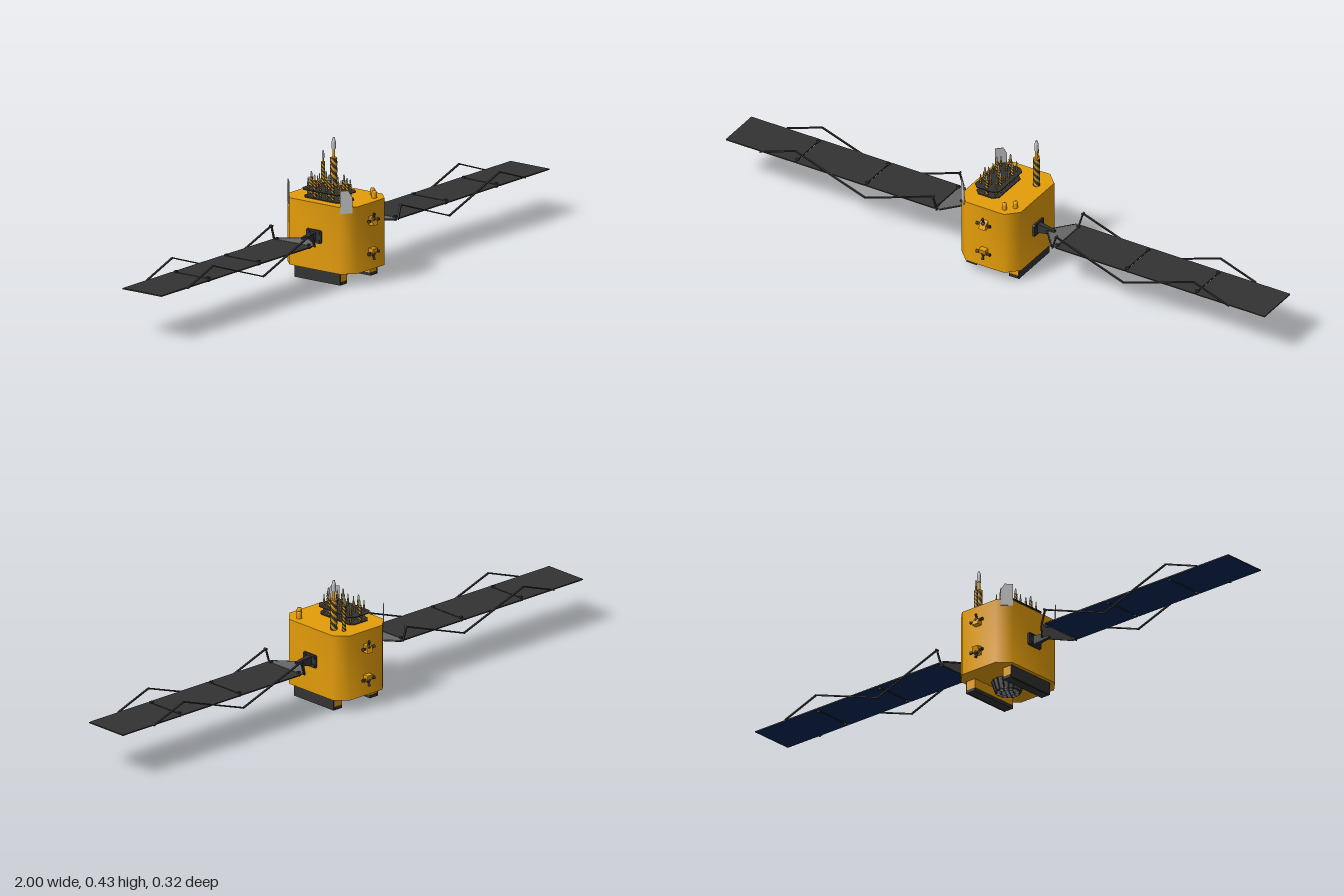
import * as THREE from 'three';
import { ParametricGeometry } from 'three/addons/geometries/ParametricGeometry.js';
import { toCreasedNormals } from 'three/addons/utils/BufferGeometryUtils.js';

function mat(name, color, double = false) {
  const m = new THREE.MeshStandardMaterial({ color });
  m.name = name;
  if (double) m.side = THREE.DoubleSide;
  return m;
}

export function createModel() {
  const gold = mat('gold foil', 0xe59d09);
  const dark = mat('dark grey', 0x333333, true);
  const navy = mat('navy solar cell', 0x032858);
  const grey = mat('light grey', 0xc2c2c2);
  const midGrey = mat('mid grey', 0x666666);

  const model = new THREE.Group();
  model.name = 'satellite';

  function add(parent, name, geometry, material, x = 0, y = 0, z = 0) {
    const mesh = new THREE.Mesh(geometry, material);
    mesh.name = name;
    mesh.position.set(x, y, z);
    parent.add(mesh);
    return mesh;
  }
  const box = (w, h, d) => new THREE.BoxGeometry(w, h, d);
  const polygon = pts => new THREE.Shape(pts.map(p => new THREE.Vector2(p[0], p[1])));
  const extrude = (pts, depth) => new THREE.ExtrudeGeometry(polygon(pts), { depth, bevelEnabled: false });
  // Flat slab: outline in x and z, thickness upwards
  const slab = (pts, height) => extrude(pts, height).rotateX(-Math.PI / 2);

  // Cylinder between two points
  function rod(parent, name, a, b, r, material, r2 = r) {
    const p = new THREE.Vector3(...a), q = new THREE.Vector3(...b);
    const mesh = add(parent, name, new THREE.CylinderGeometry(r2, r, p.distanceTo(q), 10), material);
    mesh.position.copy(p).add(q).multiplyScalar(0.5);
    mesh.quaternion.setFromUnitVectors(new THREE.Vector3(0, 1, 0), q.sub(p).normalize());
    return mesh;
  }

  // Rectangle with cut corners
  const octagon = (w, d, c) => [
    [w - c, -d], [w, -d + c], [w, d - c], [w - c, d],
    [-w + c, d], [-w, d - c], [-w, -d + c], [-w + c, -d]];

  // Main body, shaded smoothly round its cut corners
  add(model, 'body', toCreasedNormals(slab(octagon(0.11, 0.14, 0.039), 0.219), 0.9), gold, 0, 0.041, 0);

  // Underside runners: gold boxes with dark outer and lower plates
  for (const s of [-1, 1]) {
    const runner = new THREE.Group();
    runner.name = 'runner';
    add(runner, 'runnerBlock', box(0.034, 0.032, 0.182), gold, s * 0.076, 0.026, 0);
    add(runner, 'runnerBase', box(0.03, 0.01, 0.184), dark, s * 0.076, 0.005, 0);
    add(runner, 'runnerSide', box(0.004, 0.041, 0.184), dark, s * 0.095, 0.0205, 0);
    model.add(runner);
  }

  // Main engine: grey cone with dark ribs and a dark studded face
  const engine = new THREE.Group();
  engine.name = 'engine';
  add(engine, 'engineCone', new THREE.CylinderGeometry(0.052, 0.04, 0.035, 24), midGrey, 0, 0.0245, 0);
  add(engine, 'engineFace', new THREE.CylinderGeometry(0.039, 0.039, 0.003, 24), dark, 0, 0.006, 0);
  for (let i = 0; i < 16; i++) {
    const a = i / 16 * Math.PI * 2, c = Math.cos(a), s = Math.sin(a);
    rod(engine, 'engineRib', [c * 0.04, 0.007, s * 0.04], [c * 0.052, 0.041, s * 0.052], 0.0025, dark);
  }
  for (const [n, r] of [[1, 0], [6, 0.015], [12, 0.03]])
    for (let i = 0; i < n; i++) {
      const a = i / n * Math.PI * 2;
      add(engine, 'engineStud', new THREE.CylinderGeometry(0.0058, 0.0058, 0.003, 10), grey,
        Math.cos(a) * r, 0.0045, Math.sin(a) * r);
    }
  model.add(engine);

  // Striped helical antenna with a slim neck and pointed cap
  function antenna(parent, name, x, z, r, bodyTop, neckTop, top) {
    const g = new THREE.Group();
    g.name = name;
    g.position.set(x, 0, z);
    const base = 0.258, h = bodyTop - base, pitch = r * Math.PI * 2, starts = 3;
    add(g, 'antennaTube', new THREE.CylinderGeometry(r, r, h, 16), gold, 0, base + h / 2, 0);
    for (let i = 0; i < starts; i++) {
      const stripe = new ParametricGeometry((u, v, p) => {
        const a = ((i + u * 0.56) / starts - v * h / pitch) * Math.PI * 2;
        p.set(Math.cos(a) * r * 1.06, base + v * h, -Math.sin(a) * r * 1.06);
      }, 4, Math.ceil(h / pitch * 18));
      add(g, 'antennaStripe', stripe, dark);
    }
    add(g, 'antennaNeck', new THREE.CylinderGeometry(r * 0.42, r * 0.42, neckTop - bodyTop, 10), gold,
      0, (neckTop + bodyTop) / 2, 0);
    const c = r * 0.62, l = top - neckTop;
    add(g, 'antennaCap', new THREE.CylinderGeometry(c, c, l * 0.65, 12), grey, 0, neckTop + l * 0.325, 0);
    add(g, 'antennaTip', new THREE.CylinderGeometry(c * 0.45, c, l * 0.35, 12), grey, 0, neckTop + l * 0.825, 0);
    parent.add(g);
  }
  antenna(model, 'tallAntenna', 0.068, -0.062, 0.0108, 0.361, 0.39, 0.427);
  antenna(model, 'shortAntenna', 0.053, -0.093, 0.006, 0.346, 0.358, 0.383);

  // Antenna array standing through a raised dark plate
  const array = new THREE.Group();
  array.name = 'antennaArray';
  const ax = -0.035;
  add(array, 'arrayDeck', slab(octagon(0.042, 0.08, 0.016), 0.003), dark, ax, 0.26, 0);
  add(array, 'arrayPlate', slab(octagon(0.046, 0.084, 0.016), 0.003), dark, ax, 0.285, 0);
  for (const [dx, z] of [[0, 0.072], [0, 0], [0, -0.072], [0.029, 0.036], [-0.029, 0.036], [0.029, -0.036], [-0.029, -0.036]])
    antenna(array, 'arrayAntenna', ax + dx, z, 0.0052, 0.318, 0.32, 0.336);
  for (const dx of [-0.029, 0.029])
    for (const z of [-0.062, -0.013, 0.013, 0.062])
      antenna(array, 'smallArrayAntenna', ax + dx, z, 0.0033, 0.309, 0.312, 0.325);
  for (const z of [-0.047, 0.047]) antenna(array, 'smallArrayAntenna', ax, z, 0.0033, 0.309, 0.312, 0.325);
  model.add(array);

  // Domed sensors on the top deck
  for (const [x, z] of [[0.08, 0.085], [0.055, 0.111]]) {
    const prof = [[0.0085, 0], [0.0085, 0.018], [0.006, 0.023], [0, 0.024]].map(p => new THREE.Vector2(...p));
    add(model, 'domeSensor', new THREE.LatheGeometry(prof, 16), gold, x, 0.259, z);
  }

  // Grey shield plates on the two right-hand corners
  const plateOutline = [[-0.02, 0.24], [0.02, 0.24], [0.02, 0.293], [0.007, 0.315], [-0.02, 0.315]];
  for (const s of [-1, 1]) {
    const outline = plateOutline.map(([x, y]) => [s * x, y]);
    const plate = add(model, 'shieldPlate', extrude(outline, 0.002), grey, -0.0965, 0, s * 0.1155);
    plate.rotation.y = s > 0 ? -Math.PI / 4 : -Math.PI * 3 / 4;
  }

  // Thruster clusters, two on the front and two on the back
  const bracketOutline = [[0, -0.012], [0.021, -0.012], [0.015, 0.006], [0, 0.016]];
  for (const turn of [0, Math.PI]) {
    const side = new THREE.Group();
    side.name = 'thrusterMount';
    side.rotation.y = turn;
    model.add(side);
    for (const up of [1, -1]) {
      const t = new THREE.Group();
      t.name = 'thrusterCluster';
      add(t, 'thrusterBracket', extrude(bracketOutline, 0.024).translate(0, 0, -0.012).rotateY(-Math.PI / 2), gold);
      rod(t, 'thrusterNozzle', [0, 0.004, 0.008], [0, 0.026, 0.016], 0.002, dark, 0.0045);
      add(t, 'thrusterValve', new THREE.SphereGeometry(0.007, 12, 8), dark, 0, 0.007, 0.011);
      for (const s of [-1, 1])
        rod(t, 'thrusterNozzle', [s * 0.01, 0.002, 0.009], [s * 0.026, 0.003, 0.013], 0.003, dark, 0.0055);
      // The lower cluster is the upper one turned upside down
      if (up < 0) t.rotation.z = Math.PI;
      t.position.set(0, up > 0 ? 0.201 : 0.101, 0.139);
      side.add(t);
    }
  }

  // Solar wing, pointing to +x
  function wing(name) {
    const w = new THREE.Group();
    w.name = name;
    const y0 = 0.151;
    // Root drive and tapered boom
    add(w, 'wingMount', extrude(octagon(0.03, 0.0215, 0.004), 0.008).rotateY(Math.PI / 2), dark, 0.108, y0, 0);
    for (const dy of [-0.013, 0.013])
      for (const dz of [-0.02, 0.02]) add(w, 'mountBolt', box(0.004, 0.008, 0.01), dark, 0.117, y0 + dy, dz);
    const boom = new THREE.CylinderGeometry(0.011, 0.022, 0.06, 4, 1).toNonIndexed();
    boom.rotateY(Math.PI / 4).rotateZ(-Math.PI / 2).scale(1, 1, 0.6).computeVertexNormals();
    add(w, 'wingBoom', boom, dark, 0.145, y0, 0);
    // Triangular yoke
    add(w, 'wingYoke', slab([[0.155, -0.008], [0.205, -0.074], [0.222, -0.074], [0.222, 0.074],
      [0.205, 0.074], [0.155, 0.008]], 0.004), midGrey, 0, y0 - 0.002, 0);
    for (const s of [-1, 1])
      rod(w, 'yokeArm', [0.15, y0, s * 0.006], [0.208, y0, s * 0.076], 0.003, dark);
    // Three hinged panels, dark above and navy below
    for (let i = 0; i < 3; i++)
      add(w, 'solarPanel', box(0.256, 0.004, 0.156), [dark, dark, dark, navy, dark, dark], 0.353 + i * 0.26, y0, 0);
    for (const x of [0.223, 0.483, 0.743])
      for (const z of [-0.064, 0.064]) add(w, 'panelHinge', box(0.01, 0.016, 0.008), dark, x, y0, z);
    // Flat zigzag deployment bars along both edges
    const path = [[0.215, y0], [0.229, 0.196], [0.48, 0.108], [0.74, 0.197], [0.87, y0]];
    for (const z of [-0.0815, 0.0815]) {
      for (let i = 0; i + 1 < path.length; i++) {
        const [x1, y1] = path[i], [x2, y2] = path[i + 1];
        const bar = add(w, 'deploymentBar', box(Math.hypot(x2 - x1, y2 - y1) + 0.003, 0.004, 0.006), dark,
          (x1 + x2) / 2, (y1 + y2) / 2, z);
        bar.rotation.z = Math.atan2(y2 - y1, x2 - x1);
      }
      rod(w, 'barJoint', [...path[1], z - 0.006], [...path[1], z + 0.006], 0.0035, dark);
    }
    return w;
  }
  const rightWing = wing('rightSolarWing');
  rightWing.rotation.y = Math.PI;
  model.add(wing('leftSolarWing'), rightWing);

  return model;
}
